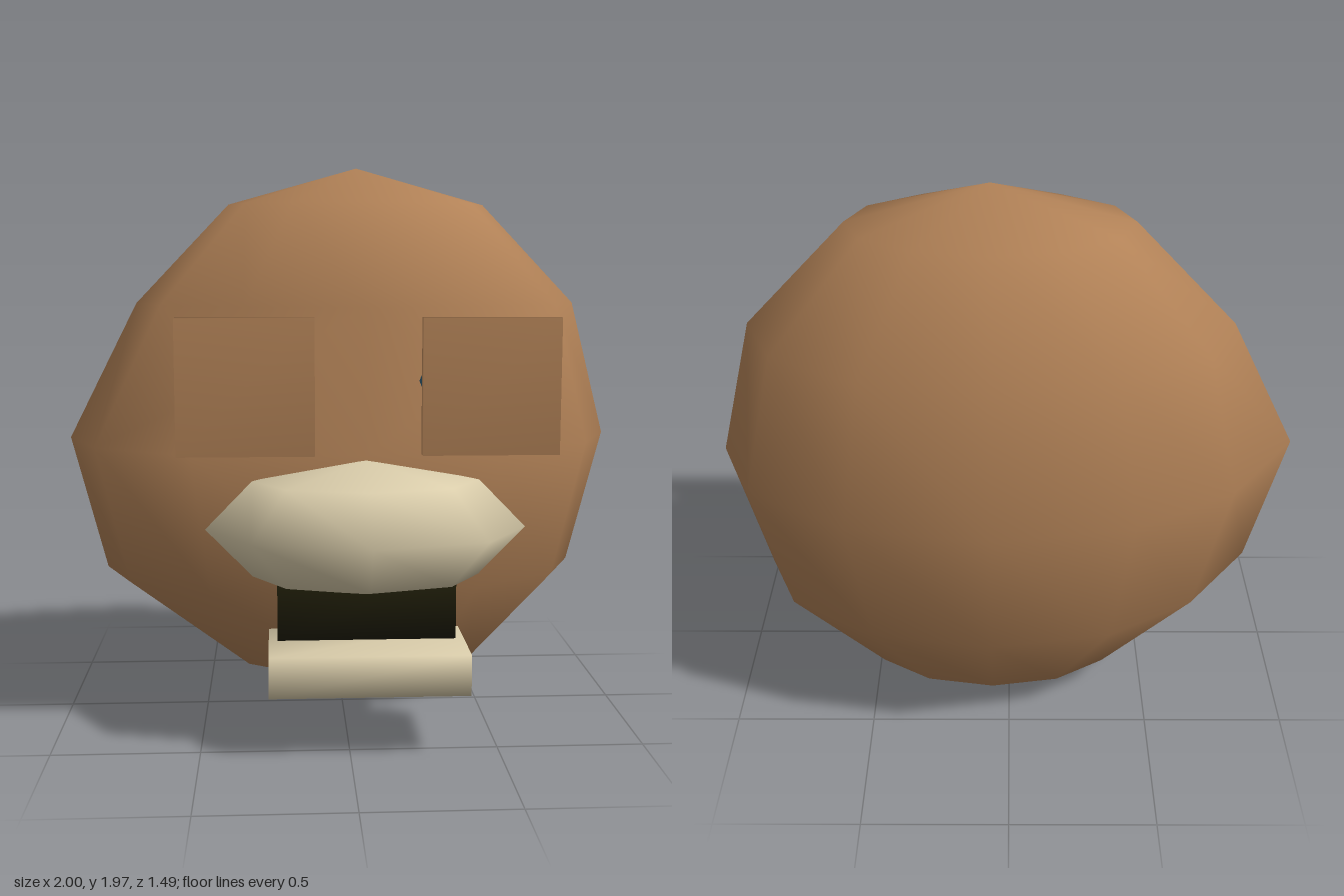
import * as THREE from 'three';
import { mergeVertices } from 'three/addons/utils/BufferGeometryUtils.js';

const paint = (name, color) => {
  const m = new THREE.MeshStandardMaterial({ color });
  m.name = name;
  return m;
};

// Share corners so that shading runs smoothly over every edge
function smooth(geometry) {
  geometry.deleteAttribute('uv');
  geometry.deleteAttribute('normal');
  const g = mergeVertices(geometry, 1e-4);
  g.computeVertexNormals();
  return g;
}

// Flattened ball: 12 segments, 6 rings, two sockets and a swollen right cheek
function headGeometry() {
  const SEG = 12, RINGS = 6, step = Math.PI / 6;
  const pos = [], index = [];
  const c = [0.06, 0.983, -0.18], r = [0.94, 0.983, 0.565];
  for (let k = 1; k < RINGS; k++) {
    for (let i = 0; i < SEG; i++) {
      const t = k * step, a = i * step;
      const cheek = (k === 3 || k === 4) && i >= 9;
      pos.push(
        c[0] + r[0] * Math.sin(t) * Math.sin(a) - (cheek ? 0.12 : 0),
        c[1] + r[1] * Math.cos(t),
        c[2] + r[2] * Math.sin(t) * Math.cos(a) + (cheek ? 0.05 : 0));
    }
  }
  const add = (x, y, z) => pos.push(x, y, z) / 3 - 1;
  const top = add(c[0], c[1] + r[1], c[2]);
  const bottom = add(c[0], c[1] - r[1], c[2]);
  const at = (k, i) => (k - 1) * SEG + (i + SEG) % SEG;

  for (let i = 0; i < SEG; i++) {
    index.push(top, at(1, i), at(1, i + 1));
    index.push(bottom, at(5, i + 1), at(5, i));
    for (let k = 1; k < 5; k++) {
      if (k === 2 && (i < 2 || i >= 10)) continue; // socket openings
      const [p, q, s, t] = [at(k, i), at(k + 1, i), at(k + 1, i + 1), at(k, i + 1)];
      index.push(p, q, s, p, s, t);
    }
  }
  // Each socket is a fan around a sunken point
  for (const [start, x] of [[0, 0.465], [-2, -0.345]]) {
    const deep = add(x, 1.23, 0.16);
    const rim = [at(2, start), at(3, start), at(3, start + 1),
      at(3, start + 2), at(2, start + 2), at(2, start + 1)];
    rim.forEach((v, j) => index.push(deep, v, rim[(j + 1) % 6]));
  }
  const g = new THREE.BufferGeometry();
  g.setAttribute('position', new THREE.Float32BufferAttribute(pos, 3));
  g.setIndex(index);
  g.computeVertexNormals();
  return g;
}

export function createModel() {
  const group = new THREE.Group();
  const skin = paint('skin', 0xb28257);
  const cream = paint('cream', 0xdacdab);
  const blue = paint('eye blue', 0x34627a);
  const dark = paint('mouth dark', 0x1f1d08);

  const add = (name, geometry, material) => {
    const mesh = new THREE.Mesh(geometry, material);
    mesh.name = name;
    group.add(mesh);
  };
  // Box from its limits on each axis
  const box = (name, [x0, x1], [y0, y1], [z0, z1], material) => {
    const g = new THREE.BoxGeometry(x1 - x0, y1 - y0, z1 - z0);
    g.translate((x0 + x1) / 2, (y0 + y1) / 2, (z0 + z1) / 2);
    add(name, smooth(g), material);
  };
  // Eight-sided ellipsoid
  const ball = (name, center, radii, rings, material) => {
    const g = new THREE.SphereGeometry(1, 8, rings);
    g.scale(...radii).translate(...center);
    add(name, smooth(g), material);
  };

  add('head', headGeometry(), skin);

  // Eyes with square lids in front
  for (const [side, x] of [['left', 0.465], ['right', -0.34]]) {
    ball(side + 'Eye', [x, 1.225, 0.28], [0.215, 0.215, 0.185], 4, blue);
    box(side + 'Eyelid', [x - 0.226, x + 0.226], [1.0, 1.45], [0.455, 0.503], skin);
  }

  // Moustache, mouth and lower lip
  ball('moustache', [0.06, 0.74, 0.4], [0.54, 0.23, 0.345], 4, cream);
  box('mouth', [-0.24, 0.36], [0.37, 0.62], [0.1, 0.46], dark);
  box('lowerLip', [-0.27, 0.395], [0.217, 0.355], [0.265, 0.603], cream);

  return group;
}
